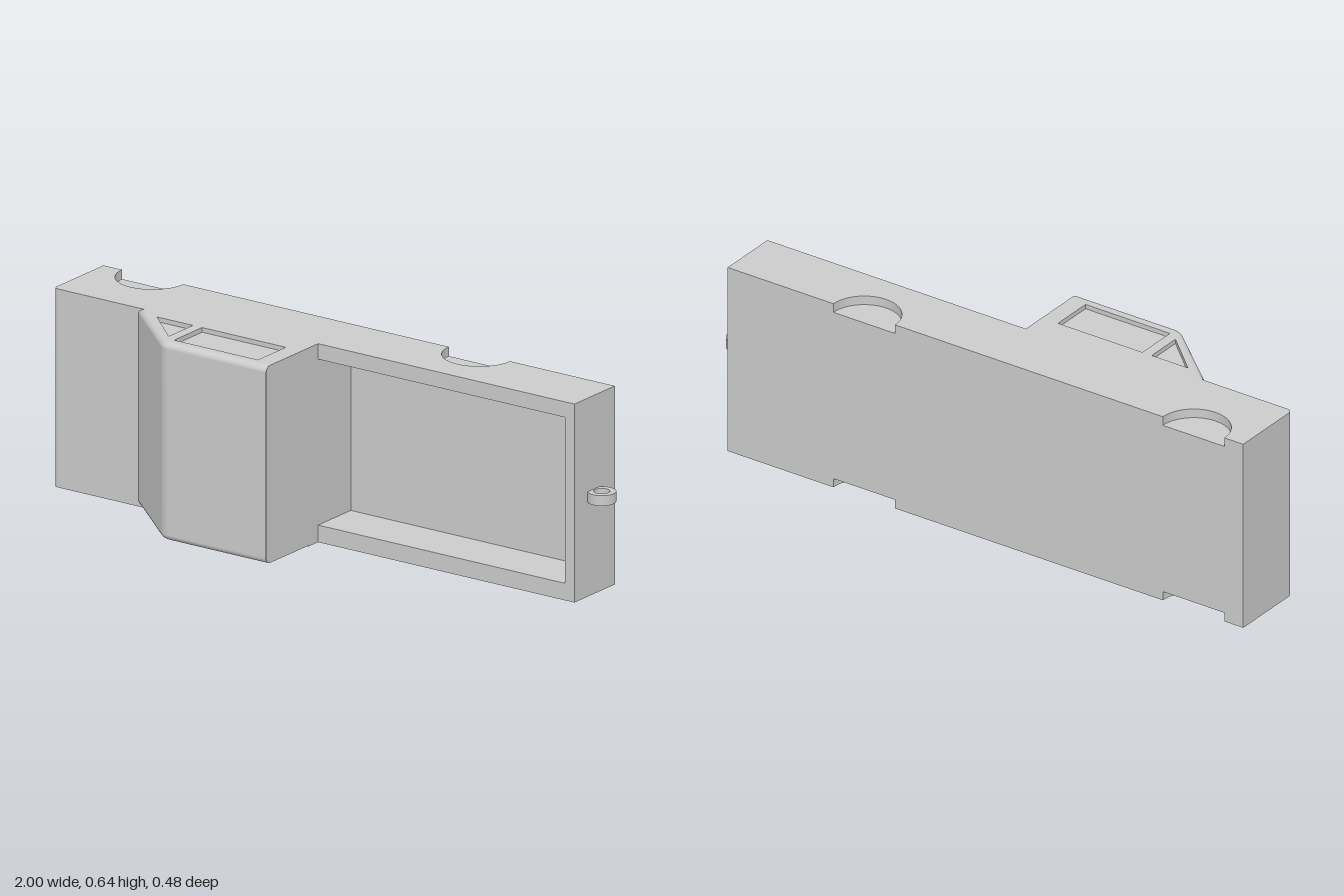
import * as THREE from 'three';

const HEIGHT = 0.64;
const material = new THREE.MeshStandardMaterial({ color: 0xcccccc });
const skinMaterial = new THREE.MeshStandardMaterial({ color: 0xcccccc, side: THREE.DoubleSide });

function add(group, name, geometry, mat = material) {
  const mesh = new THREE.Mesh(geometry, mat);
  mesh.name = name;
  group.add(mesh);
}

// Extrudes a shape drawn in (x, z) from y0 up to y1
function slab(shape, y0, y1) {
  const g = new THREE.ExtrudeGeometry(shape, { depth: y1 - y0, bevelEnabled: false, curveSegments: 24 });
  return g.rotateX(Math.PI / 2).translate(0, y1, 0);
}

const polygon = (pts) => new THREE.Shape(pts.map(([x, z]) => new THREE.Vector2(x, z)));

// Lower body profile, optionally with wheel arches or the open bed
function bodyShape({ arches = false, bed = false }) {
  const s = new THREE.Shape();
  s.moveTo(-1, -0.24);
  if (arches) {
    for (const cx of [-0.815, 0.415]) {
      s.lineTo(cx - 0.115, -0.24);
      s.absarc(cx, -0.24, 0.115, Math.PI, 0, true);
    }
  }
  s.lineTo(0.925, -0.24);
  s.lineTo(0.925, -0.03);
  if (bed) {
    s.lineTo(0.89, -0.03);
    s.lineTo(0.89, -0.2);
    s.lineTo(-0.04, -0.2);
  } else {
    s.lineTo(-0.04, -0.03);
  }
  s.lineTo(-0.04, 0.02);
  s.lineTo(-0.98, 0.02);
  s.quadraticCurveTo(-1, 0.02, -1, 0);
  s.closePath();
  return s;
}

// Windshield and roof line, inset by d
const slope = Math.atan2(0.22, 0.25);
const ROOF_R = 0.06;
const CAB_END = -0.04;
function cabLine(d) {
  const cx = -0.43 + ROOF_R * Math.tan(slope / 2);
  const pts = [[-0.68 + d / Math.sin(slope), 0.02]];
  for (let i = 0; i <= 8; i++) {
    const a = Math.PI / 2 + slope * (1 - i / 8);
    pts.push([cx + (ROOF_R - d) * Math.cos(a), 0.24 - ROOF_R + (ROOF_R - d) * Math.sin(a)]);
  }
  pts.push([CAB_END, 0.24 - d]);
  return pts;
}

// Windshield and roof skin with rounded side edges
function cabSkin(y0, y1, r) {
  const rows = [];
  for (let i = 0; i <= 6; i++) {
    const a = (i / 6) * Math.PI / 2;
    rows.push([r * (1 - Math.cos(a)), r * (1 - Math.sin(a))]);
  }
  const levels = [
    ...rows.map(([h, d]) => [y0 + h, d]),
    ...rows.slice().reverse().map(([h, d]) => [y1 - h, d]),
  ];
  const pos = [], index = [];
  let n = 0;
  for (const [y, d] of levels) {
    const line = cabLine(d);
    n = line.length;
    for (const [x, z] of line) pos.push(x, y, z);
  }
  for (let i = 0; i < levels.length - 1; i++) {
    for (let j = 0; j < n - 1; j++) {
      const a = i * n + j, c = a + n;
      index.push(a, a + 1, c, a + 1, c + 1, c);
    }
  }
  const g = new THREE.BufferGeometry();
  g.setAttribute('position', new THREE.Float32BufferAttribute(pos, 3));
  g.setIndex(index);
  g.computeVertexNormals();
  return g;
}

export function createModel() {
  const model = new THREE.Group();
  model.name = 'pickupTruck';

  // Lower body, stacked from side to side
  const body = new THREE.Group();
  body.name = 'body';
  model.add(body);
  const archDepth = 0.03, rail = 0.055;
  const sidePanel = bodyShape({ arches: true });
  const railShape = bodyShape({});
  add(body, 'lowerSideWithArches', slab(sidePanel, 0, archDepth));
  add(body, 'lowerBedRail', slab(railShape, archDepth, rail));
  add(body, 'bedAndHood', slab(bodyShape({ bed: true }), rail, 0.59));
  add(body, 'upperBedRail', slab(railShape, 0.59, HEIGHT - archDepth));
  add(body, 'upperSideWithArches', slab(sidePanel, HEIGHT - archDepth, HEIGHT));

  // Cab
  const cab = new THREE.Group();
  cab.name = 'cab';
  model.add(cab);
  const y0 = 0.003, r = 0.02, recess = 0.015;
  add(cab, 'windshieldAndRoof', cabSkin(y0, HEIGHT, r), skinMaterial);

  // Side panels with window recesses over a plain core
  const outline = [...cabLine(r), [CAB_END, 0.02]];
  const windows = [
    [[-0.585, 0.055], [-0.45, 0.055], [-0.45, 0.18]],
    [[-0.415, 0.055], [-0.1, 0.055], [-0.1, 0.2], [-0.415, 0.2]],
  ];
  const panel = polygon(outline);
  for (const w of windows) panel.holes.push(polygon(w));
  add(cab, 'cabCore', slab(polygon(outline), y0 + recess, HEIGHT - recess));
  add(cab, 'lowerWindowFrame', slab(panel, y0, y0 + recess));
  add(cab, 'upperWindowFrame', slab(panel, HEIGHT - recess, HEIGHT));

  // Rear wall of the cab, with rounded roof corners
  const wall = new THREE.Shape();
  wall.moveTo(-0.02, y0);
  wall.lineTo(-0.02, HEIGHT);
  wall.lineTo(-0.24 + r, HEIGHT);
  wall.absarc(-0.24 + r, HEIGHT - r, r, Math.PI / 2, Math.PI, false);
  wall.absarc(-0.24 + r, y0 + r, r, Math.PI, Math.PI * 1.5, false);
  wall.closePath();
  add(cab, 'cabRearWall', new THREE.ShapeGeometry(wall).rotateY(Math.PI / 2).translate(CAB_END + 0.0005, 0, 0));

  // Ring on the tailgate
  const ring = new THREE.Shape().absarc(0.956, -0.13, 0.044, 0, Math.PI * 2, false);
  ring.holes.push(new THREE.Path().absarc(0.956, -0.13, 0.025, 0, Math.PI * 2, true));
  add(model, 'towRing', slab(ring, 0.305, 0.338));

  return model;
}
